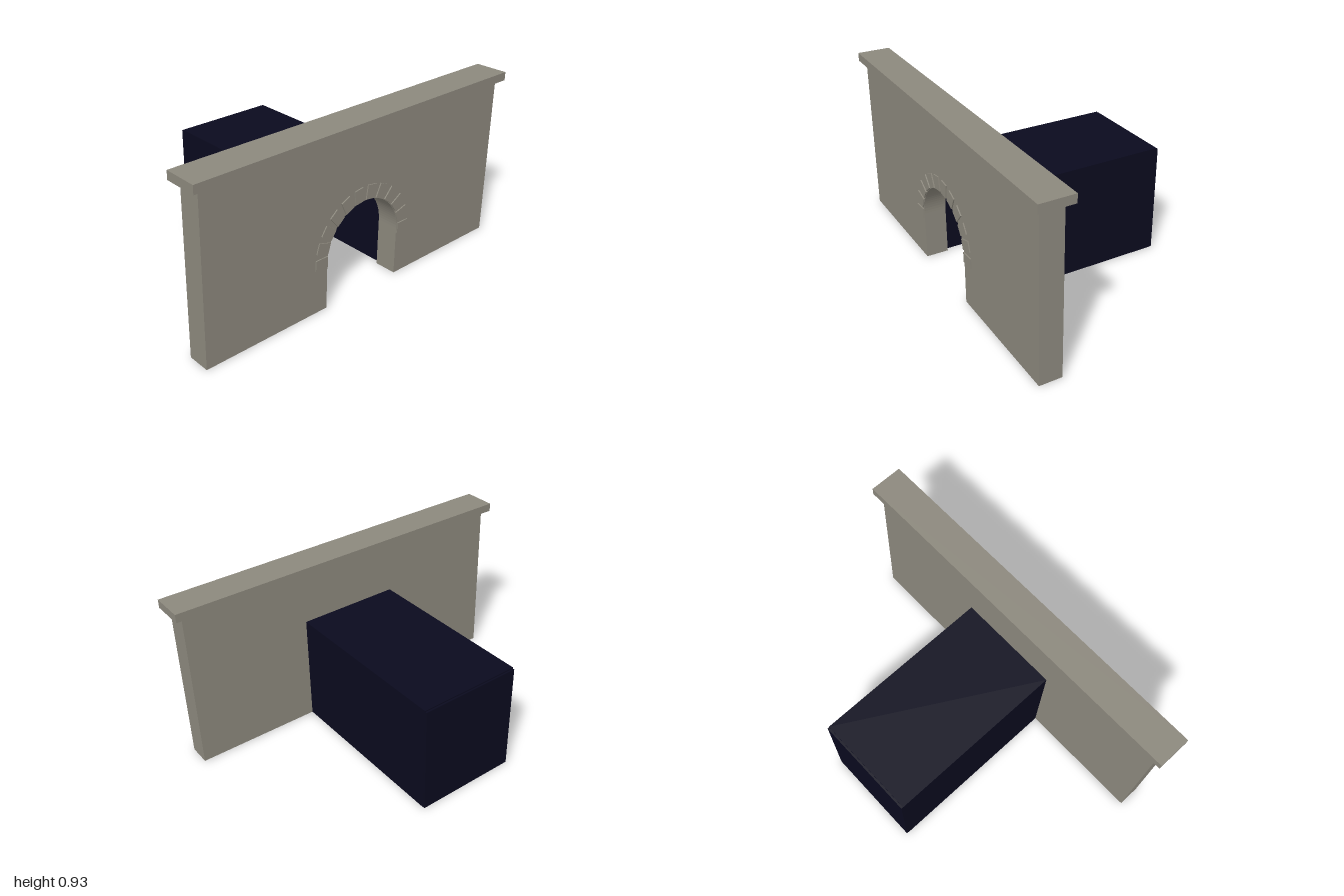
import * as THREE from 'three';

const SPRING = 0.265; // height where the arch starts to curve
const RADIUS = 0.24;  // half width of the opening

export function createModel() {
  const portal = new THREE.Group();
  portal.name = 'tunnelPortal';
  const stone = new THREE.MeshStandardMaterial({ color: 0x8c887d });
  stone.name = 'stone';
  const dark = new THREE.MeshStandardMaterial({ color: 0x0a0a1e });
  dark.name = 'tunnelDark';

  function add(name, geometry, material, x, y, z, parent = portal) {
    const mesh = new THREE.Mesh(geometry, material);
    mesh.name = name;
    mesh.position.set(x, y, z);
    parent.add(mesh);
    return mesh;
  }

  // Head wall with an arched opening that reaches the ground
  const outline = new THREE.Shape();
  outline.moveTo(-0.96, 0);
  outline.lineTo(-RADIUS, 0);
  outline.lineTo(-RADIUS, SPRING);
  outline.absarc(0, SPRING, RADIUS, Math.PI, 0, true);
  outline.lineTo(RADIUS, 0);
  outline.lineTo(0.96, 0);
  outline.lineTo(0.96, 0.885);
  outline.lineTo(-0.96, 0.885);
  outline.closePath();
  const wall = new THREE.ExtrudeGeometry(outline, { depth: 0.12, bevelEnabled: false, curveSegments: 24 });
  add('headWall', wall, stone, 0, 0, 0.42);

  // Coping along the top
  add('coping', new THREE.BoxGeometry(2, 0.045, 0.18), stone, 0, 0.9075, 0.48);

  // Ring of arch stones, slightly proud of the wall
  const archRing = new THREE.Group();
  archRing.name = 'archRing';
  portal.add(archRing);
  const block = new THREE.BoxGeometry(0.075, 0.057, 0.03);
  const count = 12;
  for (let i = 0; i < count; i++) {
    const angle = (Math.PI * i) / (count - 1);
    const r = 0.28;
    const s = add('archStone', block, stone, r * Math.cos(angle), SPRING + r * Math.sin(angle), 0.531, archRing);
    s.rotation.z = angle;
  }

  // Tunnel of thin panels, open at the bottom and towards the wall
  const tunnel = new THREE.Group();
  tunnel.name = 'tunnel';
  portal.add(tunnel);
  for (const side of [-1, 1]) {
    add('tunnelSide', new THREE.BoxGeometry(0.02, 0.59, 0.98), dark, side * 0.27, 0.295, -0.07, tunnel);
  }
  add('tunnelRoof', new THREE.BoxGeometry(0.56, 0.02, 0.98), dark, 0, 0.59, -0.07, tunnel);
  add('tunnelBack', new THREE.BoxGeometry(0.558, 0.594, 0.02), dark, 0, 0.297, -0.56, tunnel);

  return portal;
}
